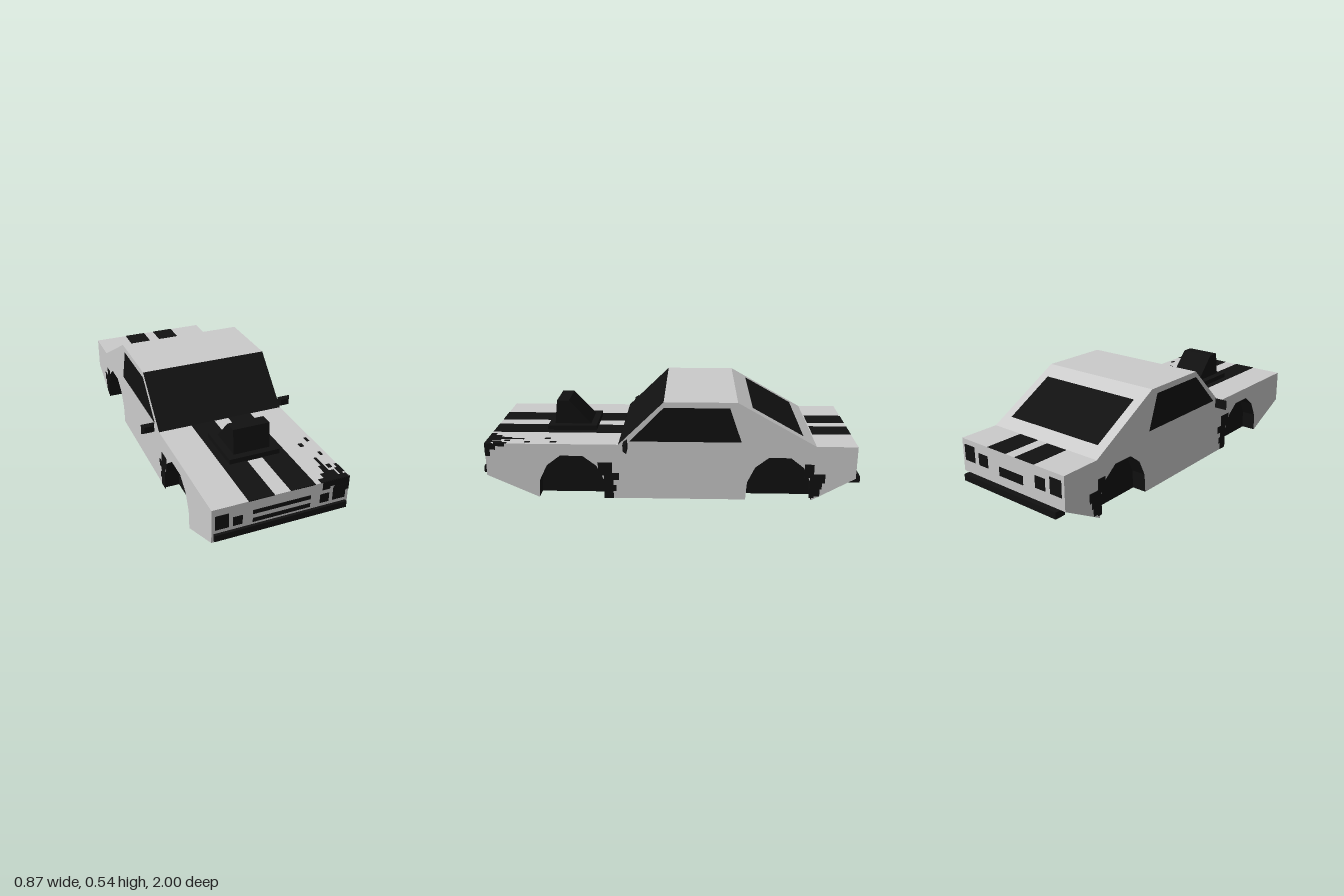
import * as THREE from 'three';

const W = 0.352;      // half width of the body
const INNER = 0.272;  // half width between the wheel wells
const grey = new THREE.MeshStandardMaterial({ color: 0xcccccc, side: THREE.DoubleSide, flatShading: true });
const black = new THREE.MeshStandardMaterial({ color: 0x111111, side: THREE.DoubleSide, flatShading: true });

export function createModel() {
  const car = new THREE.Group();
  car.name = 'car';

  const add = (name, geometry, material) => {
    const mesh = new THREE.Mesh(geometry, material);
    mesh.name = name;
    car.add(mesh);
    return mesh;
  };

  // Box given by its limits on each axis
  const box = (name, x0, x1, y0, y1, z0, z1, material = black) => {
    const g = new THREE.BoxGeometry(Math.abs(x1 - x0), Math.abs(y1 - y0), Math.abs(z1 - z0));
    g.translate((x0 + x1) / 2, (y0 + y1) / 2, (z0 + z1) / 2);
    return add(name, g, material);
  };

  // Sheet that follows [z, y] points and spans x0 to x1
  const strip = (name, points, x0, x1, material) => {
    const pos = [];
    for (let i = 0; i < points.length - 1; i++) {
      const [z0, y0] = points[i], [z1, y1] = points[i + 1];
      pos.push(x0, y0, z0, x1, y0, z0, x1, y1, z1, x0, y0, z0, x1, y1, z1, x0, y1, z1);
    }
    const g = new THREE.BufferGeometry();
    g.setAttribute('position', new THREE.Float32BufferAttribute(pos, 3));
    g.computeVertexNormals();
    return add(name, g, material);
  };

  // Flat outline of [z, y] points standing at one x, facing outward
  const sidePlate = (name, points, x, material) => {
    const s = Math.sign(x);
    const shape = new THREE.Shape(points.map(([z, y]) => new THREE.Vector2(-s * z, y)));
    const g = new THREE.ShapeGeometry(shape);
    g.rotateY(s * Math.PI / 2);
    g.translate(x, 0, 0);
    return add(name, g, material);
  };

  // Wheel arch outline from front to back
  const arch = (c, r) => [[r, 0], [r * 0.96, 0.1], [r * 0.73, 0.185], [r * 0.33, 0.24],
    [-r * 0.33, 0.24], [-r * 0.73, 0.185], [-r * 0.96, 0.1], [-r, 0]].map(([z, y]) => [c + z, y]);
  const frontArch = arch(0.53, 0.18);
  const rearArch = arch(-0.568, 0.175);

  // Body shell
  const nose = [0.985, 0.125], tail = [-0.97, 0.128];
  const hoodFront = [0.985, 0.305], hoodBack = [0.28, 0.305];
  const roofFront = [0.04, 0.54], roofBack = [-0.34, 0.54];
  const deckFront = [-0.755, 0.305], deckBack = [-0.97, 0.305];
  strip('noseAndHood', [nose, hoodFront, hoodBack], -W, W, grey);
  strip('windshield', [hoodBack, roofFront], -W, W, black);
  strip('roofAndTail', [roofFront, roofBack, deckFront, deckBack, tail], -W, W, grey);
  strip('underside', [nose, [0.71, 0], [-0.743, 0], tail], -INNER, INNER, black);

  for (const s of [-1, 1]) {
    // Side with both arches cut out
    sidePlate('bodySide', [nose, ...frontArch, ...rearArch, tail, deckBack, deckFront,
      roofBack, roofFront, hoodBack, hoodFront], s * W, grey);
    strip('sill', [nose, ...frontArch, ...rearArch, tail], s * INNER, s * W, black);
    for (const a of [frontArch, rearArch]) sidePlate('wheelWell', a, s * INNER, black);

    sidePlate('sideWindow', [[0.22, 0.325], [0.04, 0.51], [-0.3, 0.51], [-0.365, 0.325]], s * (W + 0.002), black);

    // Wing mirror, tapering to the front
    const m = new THREE.BoxGeometry(0.073, 0.055, 0.02);
    const p = m.attributes.position;
    for (let i = 0; i < p.count; i++) {
      if (p.getZ(i) > 0) p.setXYZ(i, p.getX(i) * 0.65, p.getY(i) * 0.65, p.getZ(i));
    }
    m.translate(s * 0.398, 0.313, 0.24);
    add('wingMirror', m, black);

    // Lights
    box('outerHeadlight', s * 0.268, s * 0.335, 0.192, 0.268, 0.98, 0.988);
    box('innerHeadlight', s * 0.2, s * 0.247, 0.192, 0.24, 0.98, 0.988);
    box('outerTailLight', s * 0.262, s * 0.334, 0.192, 0.277, -0.973, -0.965);
    box('innerTailLight', s * 0.165, s * 0.23, 0.192, 0.255, -0.973, -0.965);

    // Stripes
    box('hoodStripe', s * 0.041, s * 0.171, 0.303, 0.307, 0.28, 0.985);
    box('deckStripe', s * 0.032, s * 0.16, 0.303, 0.307, -0.97, -0.76);

    // Blocky mud behind each arch: z0, z1, y0, y1
    const mud = [[0.36, 0.31, 0, 0.13], [0.39, 0.315, 0.13, 0.205], [0.32, 0.28, 0.105, 0.145],
      [0.32, 0.295, 0.04, 0.075], [-0.73, -0.755, 0.015, 0.13], [-0.7, -0.75, 0.13, 0.205],
      [-0.74, -0.81, 0.1, 0.15], [-0.74, -0.795, 0.065, 0.1], [-0.74, -0.785, 0.025, 0.065]];
    for (const [z0, z1, y0, y1] of mud) box('mud', s * (W - 0.002), s * (W + 0.002), y0, y1, z0, z1);
  }

  // Rear window lying on the sloped back
  const backY = (z) => 0.54 + (z + 0.34) * (0.235 / 0.415) + 0.003;
  strip('rearWindow', [[-0.42, backY(-0.42)], [-0.69, backY(-0.69)]], -0.3, 0.3, black);

  // Grille, plate and bumpers
  for (const y of [0.185, 0.23]) box('grilleBar', -0.148, 0.148, y, y + 0.021, 0.98, 0.988);
  box('rearPlate', -0.082, 0.082, 0.178, 0.225, -0.973, -0.965);
  box('frontBumper', -0.342, 0.342, 0.138, 0.172, 0.98, 1);
  box('rearBumper', -0.32, 0.32, 0.092, 0.127, -1, -0.94);

  // Hood scoop on its base
  box('scoopBase', -0.135, 0.135, 0.3, 0.333, 0.42, 0.69);
  const scoop = [[0.655, 0.333], [0.64, 0.465], [0.575, 0.465], [0.455, 0.333]];
  strip('scoop', scoop, -0.097, 0.097, black);
  for (const x of [-0.097, 0.097]) sidePlate('scoopSide', scoop, x, black);

  // Worn paint on the left front corner
  const hoodWear = [[0.2, 0.35, 0.955, 0.985], [0.23, 0.26, 0.92, 0.96], [0.255, 0.285, 0.86, 0.96],
    [0.27, 0.285, 0.79, 0.87], [0.285, 0.31, 0.91, 0.96], [0.295, 0.315, 0.86, 0.89],
    [0.315, 0.33, 0.75, 0.78], [0.26, 0.28, 0.65, 0.68], [0.315, 0.33, 0.61, 0.645],
    [0.32, 0.335, 0.9, 0.96], [0.335, 0.35, 0.87, 0.94]];
  for (const [x0, x1, z0, z1] of hoodWear) box('hoodWear', x0, x1, 0.303, 0.307, z0, z1);
  const noseWear = [[0.21, 0.25, 0.262], [0.25, 0.275, 0.275], [0.275, 0.335, 0.25], [0.335, 0.352, 0.235]];
  for (const [x0, x1, y0] of noseWear) box('noseWear', x0, x1, y0, 0.305, 0.983, 0.987);
  const sideWear = [[0.985, 0.96, 0.235], [0.96, 0.93, 0.27], [0.93, 0.88, 0.29]];
  for (const [z0, z1, y0] of sideWear) box('sideWear', W - 0.002, W + 0.002, y0, 0.305, z0, z1);

  return car;
}
